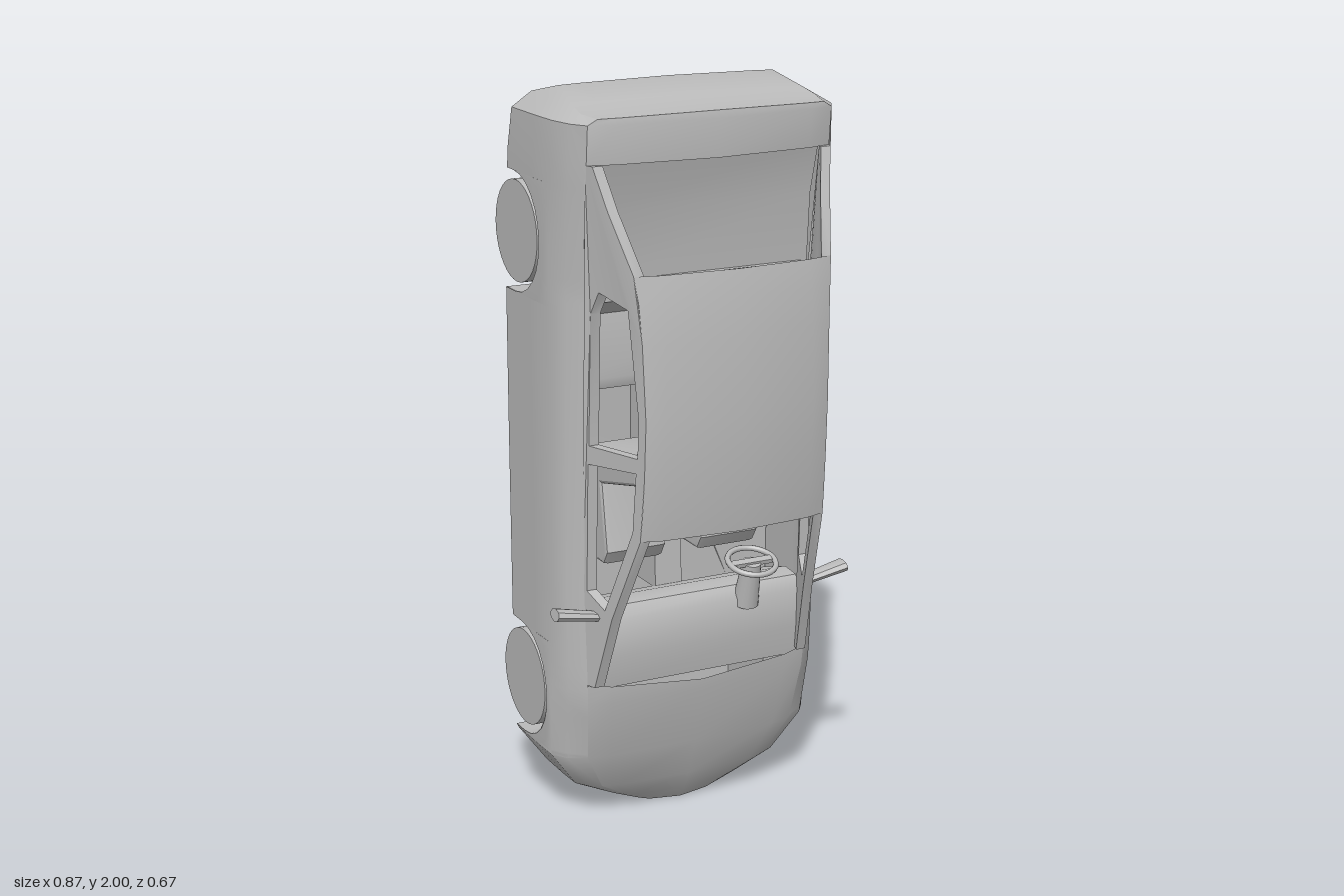
import * as THREE from 'three';
import { toCreasedNormals } from 'three/addons/utils/BufferGeometryUtils.js';

// body stations: y, half width, shoulder z, belt x, belt z, bottom z
const STATIONS = [
  [0.005, 0.13, -0.10, 0.11, -0.06, -0.24],
  [0.04, 0.21, -0.08, 0.17, -0.035, -0.24],
  [0.09, 0.31, -0.06, 0.25, -0.01, -0.245],
  [0.20, 0.39, -0.035, 0.31, 0.03, -0.255],
  [0.37, 0.395, -0.025, 0.325, 0.07, -0.262],
  [0.43, 0.395, -0.02, 0.328, 0.075, -0.265],
  [0.70, 0.395, -0.005, 0.335, 0.075, -0.265],
  [1.05, 0.395, 0, 0.335, 0.09, -0.265],
  [1.50, 0.395, 0, 0.335, 0.105, -0.262],
  [1.77, 0.395, 0.02, 0.342, 0.135, -0.24],
  [1.83, 0.395, 0.03, 0.345, 0.14, -0.232],
  [1.93, 0.39, 0.03, 0.345, 0.15, -0.215],
  [1.97, 0.34, 0.03, 0.33, 0.15, -0.20],
];
const AXLES = [0.37, 1.61];
const WHEEL_Z = -0.2;
const ARCH = 0.16;
const mix = THREE.MathUtils.lerp;

function at(y) {
  let i = 1;
  while (i < STATIONS.length - 1 && STATIONS[i][0] < y) i++;
  const a = STATIONS[i - 1], b = STATIONS[i];
  const t = THREE.MathUtils.clamp((y - a[0]) / (b[0] - a[0]), 0, 1);
  return a.map((v, k) => mix(v, b[k], t));
}
const sideX = (y, z) => { const s = at(y); return s[3] - (z - s[4]) * 0.36; };

// surface through rows of points
function grid(rows, crease = 0.6) {
  const n = rows[0].length, index = [];
  for (let r = 0; r < rows.length - 1; r++) {
    for (let c = 0; c < n - 1; c++) {
      const a = r * n + c, b = a + n;
      index.push(a, b, a + 1, a + 1, b, b + 1);
    }
  }
  const g = new THREE.BufferGeometry();
  g.setAttribute('position', new THREE.Float32BufferAttribute(rows.flat(2), 3));
  g.setIndex(index);
  return toCreasedNormals(g, crease);
}

// move every vertex by a rule
function warp(geometry, rule) {
  const p = geometry.attributes.position;
  for (let i = 0; i < p.count; i++) p.setXYZ(i, ...rule(p.getX(i), p.getY(i), p.getZ(i)));
  return toCreasedNormals(geometry, 0.5);
}

const polygon = (pts) => new THREE.Shape(pts.map(([a, b]) => new THREE.Vector2(a, b)));
const crossRow = ([x, y, z], rise, bow = 0) => [1, 0.8, 0, -0.8, -1].map((f) =>
  [x * f, y + bow * (1 - f * f), z + rise * (1 - Math.abs(f) ** 3)]);

// flank section from lower edge to belt line
function sideRow(y, low = at(y)[5]) {
  const [, w, zs, xb, zb] = at(y);
  return [[w, y, low], [w, y, mix(low, zs, 0.6)], [w - 0.003, y, zs],
    [mix(w, xb, 0.4), y, mix(zs, zb, 0.62)], [xb, y, zb]];
}

// wheel arch outline as [y, z]
function archPoints(yc) {
  const pts = [[yc - ARCH, at(yc - ARCH)[5]]];
  for (let i = 0; i <= 12; i++) {
    const a = Math.PI * (1 - i / 12);
    pts.push([yc + ARCH * Math.cos(a), WHEEL_Z + 0.155 * Math.sin(a)]);
  }
  pts.push([yc + ARCH, at(yc + ARCH)[5]]);
  return pts;
}

export function createModel() {
  const model = new THREE.Group();
  model.name = 'car';
  const paint = new THREE.MeshStandardMaterial({ color: 0xbbbbbb, side: THREE.DoubleSide });
  paint.name = 'grey';
  const add = (name, geometry, pos = [0, 0, 0], rot = [0, 0, 0]) => {
    const m = new THREE.Mesh(geometry, paint);
    m.name = name;
    m.position.set(...pos);
    m.rotation.set(...rot);
    model.add(m);
    return m;
  };

  // flanks, with the wheel arches as their lower edge
  const arches = AXLES.map(archPoints);
  const plain = STATIONS.slice(0, -1).map((s) => s[0])
    .filter((y) => AXLES.every((a) => Math.abs(y - a) > ARCH + 0.001));
  const rows = [...plain.map((y) => [y, at(y)[5]]), ...arches.flat()]
    .map((p, i) => ({ p, i })).sort((a, b) => a.p[0] - b.p[0] || a.i - b.i)
    .map(({ p }) => sideRow(p[0], p[1]));
  const tail = [[0.34, 1.97, -0.2], [0.31, 1.995, -0.1], [0.33, 1.965, 0.03],
    [0.335, 1.95, 0.09], [0.32, 1.945, 0.155]];
  rows.push(tail);

  // roof and window frame outline in (y, z)
  const frame = polygon([[0.43, 0.07], [0.43, 0.1], [0.64, 0.168], [0.88, 0.272], [1.05, 0.29],
    [1.2, 0.298], [1.4, 0.29], [1.57, 0.27], [1.72, 0.2], [1.83, 0.16], [1.83, 0.135],
    [1.5, 0.1], [1.05, 0.085], [0.7, 0.07]]);
  frame.holes.push(
    polygon([[0.66, 0.145], [0.7, 0.085], [1.05, 0.1], [1.06, 0.262], [0.9, 0.247], [0.8, 0.205]]),
    polygon([[1.1, 0.105], [1.45, 0.12], [1.51, 0.15], [1.48, 0.245], [1.2, 0.274], [1.1, 0.268]]));

  for (const s of [1, -1]) {
    const side = s > 0 ? 'left' : 'right';
    add(side + 'Flank', grid(rows.map((r) => r.map(([x, y, z]) => [s * x, y, z]))));
    add(side + 'WindowFrame', warp(new THREE.ExtrudeGeometry(frame, { depth: 0.028, bevelEnabled: false }),
      (u, v, w) => [s * (sideX(u, v) - w), u, v]));
    AXLES.forEach((yc, i) => {
      add(side + 'WheelWell', grid(arches[i].map(([y, z]) => [[s * 0.394, y, z], [s * 0.27, y, z]])));
      add(side + 'WellWall', warp(new THREE.ShapeGeometry(polygon(arches[i])), (u, v) => [s * 0.27, u, v]));
      add(side + 'Wheel', new THREE.CylinderGeometry(0.135, 0.135, 0.115, 36),
        [s * 0.333, yc, WHEEL_Z], [0, 0, Math.PI / 2]);
    });
    add(side + 'Mirror', warp(new THREE.CylinderGeometry(0.028, 0.022, 0.125, 8),
      (x, y, z) => [x * 0.6, y, z]), [s * 0.372, 0.645, 0.105], [0, 0, s * -1.38]);

    // front seat and headrest
    const seat = new THREE.ExtrudeGeometry(polygon([[0.73, -0.12], [0.73, -0.04], [0.76, -0.02], [0.95, -0.05],
      [1.0, 0.16], [1.04, 0.17], [1.06, 0.14], [1.02, -0.12]]),
    { depth: 0.15, bevelEnabled: true, bevelSize: 0.01, bevelThickness: 0.015, bevelSegments: 2 });
    add(side + 'FrontSeat', warp(seat, (u, v, w) => [s * (0.065 + w), u, v]));
    for (const [name, y, z] of [['FrontHeadrest', 1.02, 0.205], ['RearHeadrest', 1.49, 0.19]]) {
      add(side + name, new THREE.BoxGeometry(0.09, 0.03, 0.055), [s * 0.16, y, z], [-0.3, 0, 0]);
    }
  }

  // nose, bonnet, tail and rear deck
  add('nose', grid(sideRow(0.005).map((p) => crossRow(p, 0, -0.004))));
  add('bonnet', grid([0.005, 0.04, 0.09, 0.2, 0.37, 0.43].map((y) =>
    crossRow([at(y)[3], y, at(y)[4]], 0.03, y > 0.4 ? -0.03 : y < 0.01 ? -0.004 : 0))));
  add('tail', grid(tail.map((p, i) => crossRow(p, i === 4 ? 0.03 : 0, 0.005))));
  add('rearDeck', grid([
    crossRow([at(1.83)[3], 1.83, at(1.83)[4]], 0.045),
    crossRow([at(1.93)[3], 1.93, at(1.93)[4]], 0.04),
    crossRow(tail[4], 0.03, 0.005)]));

  // roof skin with lining, pinched together at both ends
  const roof = [[0.88, 0.272, 0], [0.95, 0.281, 0.015], [1.05, 0.29, 0.018], [1.2, 0.298, 0.018],
    [1.4, 0.29, 0.018], [1.5, 0.281, 0.015], [1.57, 0.27, 0]];
  add('roof', grid(roof.map(([y, z, t]) => {
    const x = sideX(y, z);
    const top = [[x, y, z], [0.21, y, z + 0.017], [0, y, z + 0.032], [-0.21, y, z + 0.017], [-x, y, z]];
    return [...top, ...top.map(([a, b, c]) => [a, b, c - t]).reverse(), top[0]];
  })));

  // flat underside, notched for the wheels
  const edge = [[0.13, 0.005], [0.21, 0.04], [0.31, 0.09], [0.39, 0.2]];
  for (const yc of AXLES) {
    edge.push([0.394, yc - ARCH], [0.27, yc - ARCH], [0.27, yc + ARCH], [0.394, yc + ARCH]);
  }
  edge.push([0.39, 1.93], [0.34, 1.97]);
  const outline = [...edge, ...edge.map(([x, y]) => [-x, y]).reverse()];
  add('underside', warp(new THREE.ShapeGeometry(polygon(outline)), (x, y) => [x, y, at(y)[5]]));

  // dashboard, tunnel, rear bench and parcel shelf
  const across = (name, width, pts) => add(name, warp(
    new THREE.ExtrudeGeometry(polygon(pts), { depth: width, bevelEnabled: false }),
    (u, v, w) => [w - width / 2, u, v]));
  across('dashboard', 0.62, [[0.41, 0.07], [0.5, 0.085], [0.6, 0.08], [0.635, 0.06], [0.64, 0], [0.6, -0.12], [0.45, -0.12]]);
  across('tunnel', 0.08, [[0.6, -0.25], [0.6, -0.1], [1.15, -0.12], [1.15, -0.25]]);
  across('rearBench', 0.6, [[1.2, -0.16], [1.2, -0.05], [1.23, -0.04], [1.4, -0.06], [1.47, 0.1], [1.52, 0.1], [1.5, -0.16]]);
  across('parcelShelf', 0.64, [[1.5, 0.06], [1.5, 0.075], [1.7, 0.09], [1.84, 0.13], [1.84, 0.11], [1.7, 0.07]]);

  // steering wheel, spoke and column
  const tilt = -Math.PI / 2 + 0.27;
  add('steeringWheel', new THREE.TorusGeometry(0.066, 0.008, 8, 28), [0.15, 0.71, 0.1], [tilt, 0, 0]);
  add('steeringSpoke', new THREE.BoxGeometry(0.13, 0.022, 0.012), [0.15, 0.708, 0.1], [tilt, 0, 0]);
  add('steeringColumn', new THREE.CylinderGeometry(0.026, 0.036, 0.13, 16), [0.15, 0.645, 0.083], [0.27, 0, 0]);

  return model;
}
